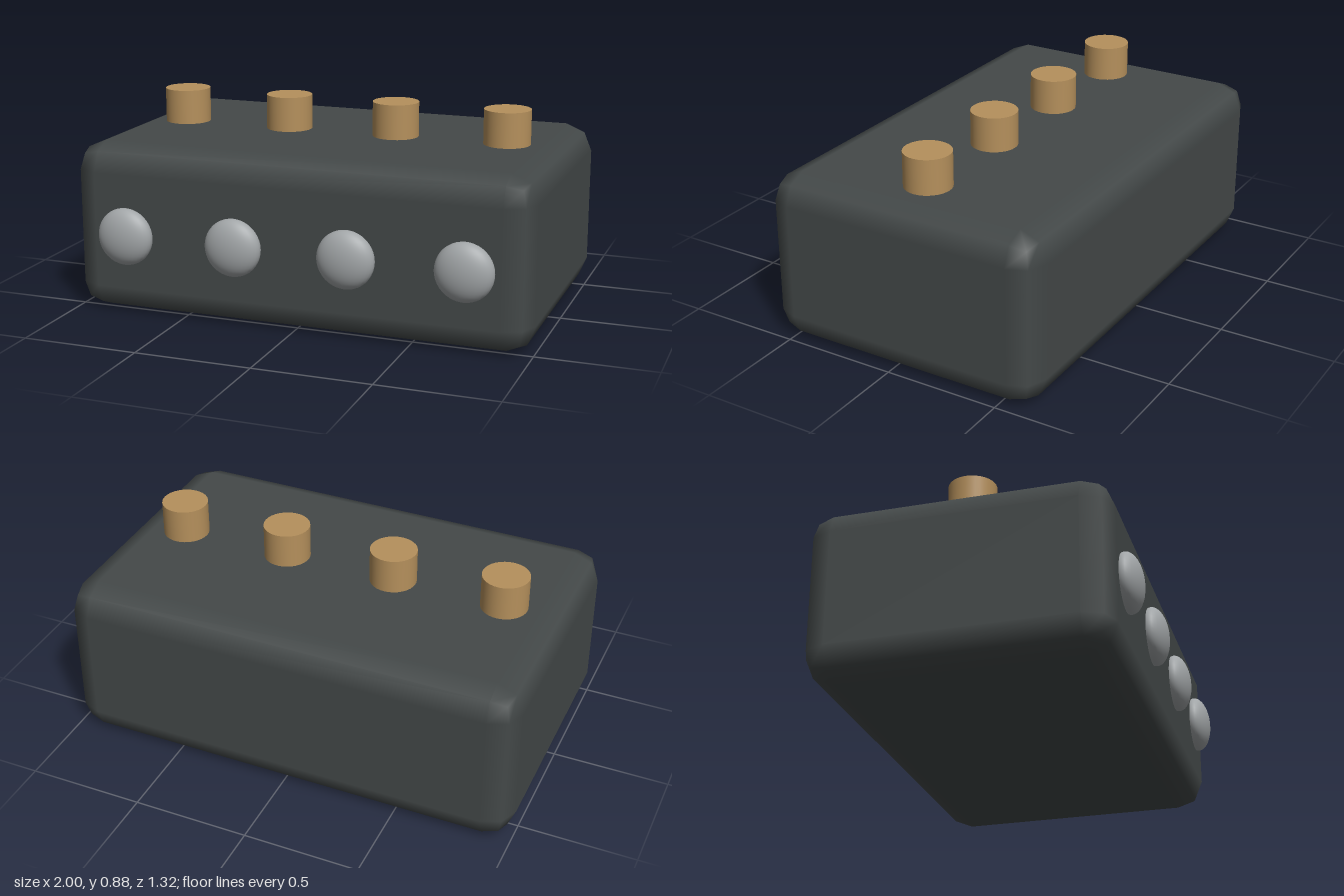
import * as THREE from 'three';
import { RoundedBoxGeometry } from 'three/addons/geometries/RoundedBoxGeometry.js';

export function createModel() {
  const model = new THREE.Group();
  const material = (name, color) => {
    const m = new THREE.MeshStandardMaterial({ color });
    m.name = name;
    return m;
  };
  const charcoal = material('charcoal', 0x444949);
  const brass = material('brass', 0xb5905c);
  const silver = material('silver', 0xa2a6a8);

  const add = (name, geometry, mat, x, y, z) => {
    const mesh = new THREE.Mesh(geometry, mat);
    mesh.name = name;
    mesh.position.set(x, y, z);
    model.add(mesh);
  };

  // Housing with coarse rounded edges
  add('body', new RoundedBoxGeometry(2, 0.73, 1.25, 1, 0.117), charcoal, 0, 0.365, -0.037);

  // Row of top posts, each above a flattened front dome
  const post = new THREE.CylinderGeometry(0.1, 0.1, 0.2, 32);
  const dome = new THREE.SphereGeometry(0.123, 32, 20).scale(1, 1, 0.5);
  for (let i = 0; i < 4; i++) {
    const x = (i - 1.5) * 0.492;
    add('topPost', post, brass, x, 0.78, -0.037);
    add('frontDome', dome, silver, x, 0.35, 0.6);
  }
  return model;
}
